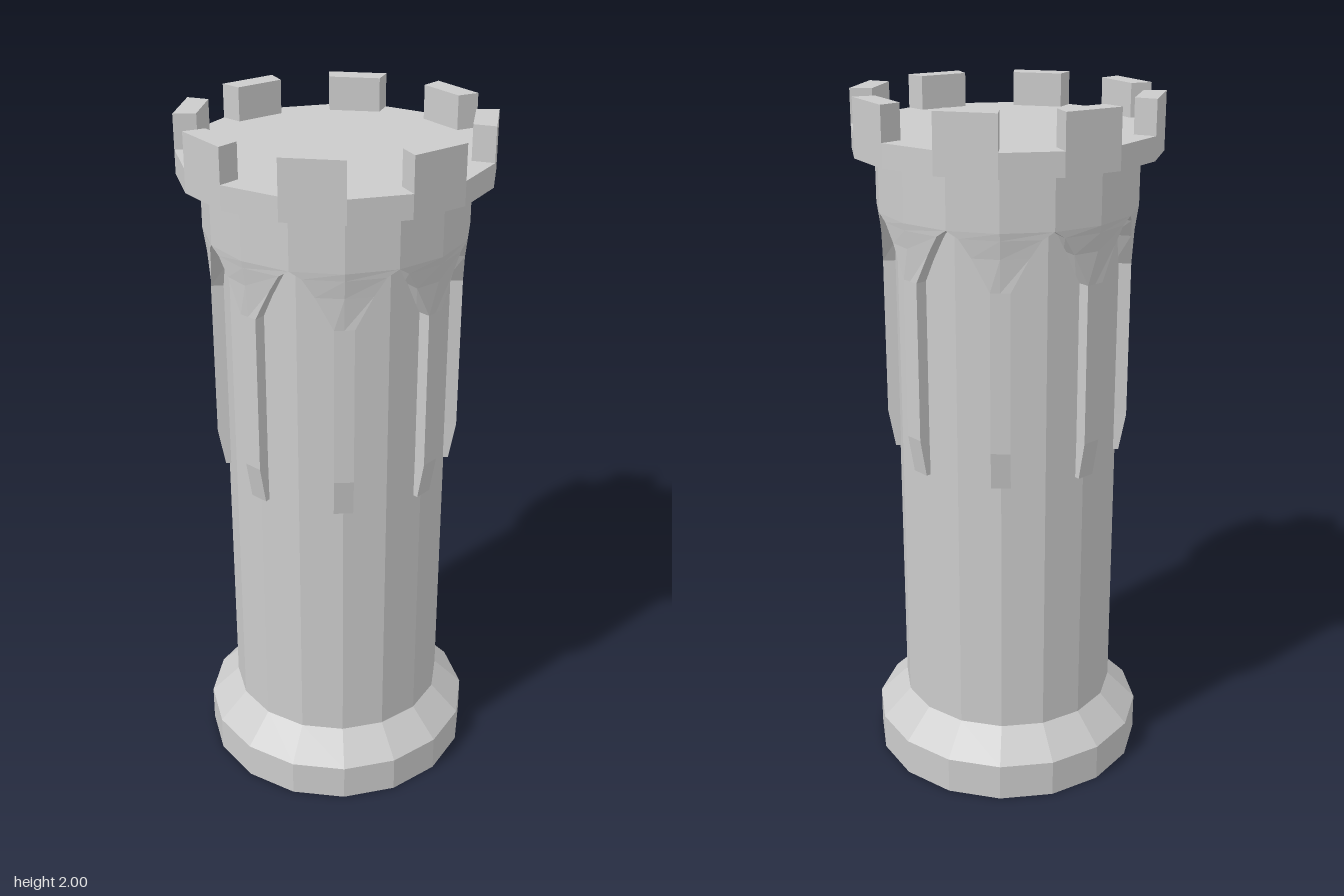
import * as THREE from 'three';

const SIDES = 16;
const STEP = (Math.PI * 2) / SIDES;

const material = new THREE.MeshStandardMaterial({
  color: 0xcccccc, flatShading: true, side: THREE.DoubleSide,
});

function addMesh(parent, name, geometry) {
  const mesh = new THREE.Mesh(geometry, material);
  mesh.name = name;
  parent.add(mesh);
  return mesh;
}

// 16-sided shell turned from [radius, y] pairs
function turned(profile) {
  return new THREE.LatheGeometry(profile.map(([r, y]) => new THREE.Vector2(r, y)), SIDES);
}

// Block covering one side of the crown, between two radii
function merlonGeometry(inner, outer, height) {
  const at = (r, a) => new THREE.Vector2(r * Math.sin(a), -r * Math.cos(a));
  const shape = new THREE.Shape([at(outer, -STEP), at(outer, 0), at(inner, 0), at(inner, -STEP)]);
  const geometry = new THREE.ExtrudeGeometry(shape, { depth: height, bevelEnabled: false });
  return geometry.rotateX(-Math.PI / 2);
}

// Rib facing +z: cross-sections of [y, outer radius, half width], spreading into half arches
function ribGeometry() {
  const sections = [
    [0.97, 0.328, 0.027],
    [1.08, 0.348, 0.027],
    [1.53, 0.348, 0.027],
    [1.62, 0.355, 0.075],
    [1.67, 0.362, 0.108],
    [1.69, 0.365, 0.1397],
  ];
  const positions = [];
  const index = [];
  sections.forEach(([y, r, w]) => {
    const edgeZ = r - (w - 0.027) * 0.247;
    const k = 0.3 / r; // the back edges sink into the shaft
    positions.push(-w * k, y, edgeZ * k, -w, y, edgeZ, 0, y, r, w, y, edgeZ, w * k, y, edgeZ * k);
  });
  for (let i = 0; i < sections.length - 1; i++) {
    for (let j = 0; j < 4; j++) {
      const a = i * 5 + j;
      index.push(a, a + 1, a + 6, a, a + 6, a + 5);
    }
  }
  for (let j = 1; j < 4; j++) index.push(0, j + 1, j); // bottom end
  const geometry = new THREE.BufferGeometry();
  geometry.setAttribute('position', new THREE.Float32BufferAttribute(positions, 3));
  geometry.setIndex(index);
  geometry.computeVertexNormals();
  return geometry;
}

export function createModel() {
  const tower = new THREE.Group();
  tower.name = 'tower';

  // Hollow foot with a chamfered top, open underneath
  addMesh(tower, 'base', turned([[0.403, 0], [0.403, 0.11], [0.318, 0.195]]));
  addMesh(tower, 'shaft', turned([[0.318, 0.195], [0.318, 1.69]]));
  addMesh(tower, 'neck', turned([[0.318, 1.69], [0.365, 1.69], [0.365, 1.84]]));
  addMesh(tower, 'crown', turned([[0.365, 1.84], [0.428, 1.84], [0.428, 1.905], [0, 1.905]]));

  // Battlements on every second side, ribs on every second corner
  const battlements = new THREE.Group();
  battlements.name = 'battlements';
  const ribs = new THREE.Group();
  ribs.name = 'ribs';
  tower.add(battlements, ribs);
  const merlon = merlonGeometry(0.366, 0.428, 0.095);
  const rib = ribGeometry();
  for (let i = 0; i < SIDES / 2; i++) {
    const block = addMesh(battlements, 'merlon', merlon);
    block.position.y = 1.905;
    block.rotation.y = i * STEP * 2;
    addMesh(ribs, 'rib', rib).rotation.y = i * STEP * 2;
  }
  return tower;
}
